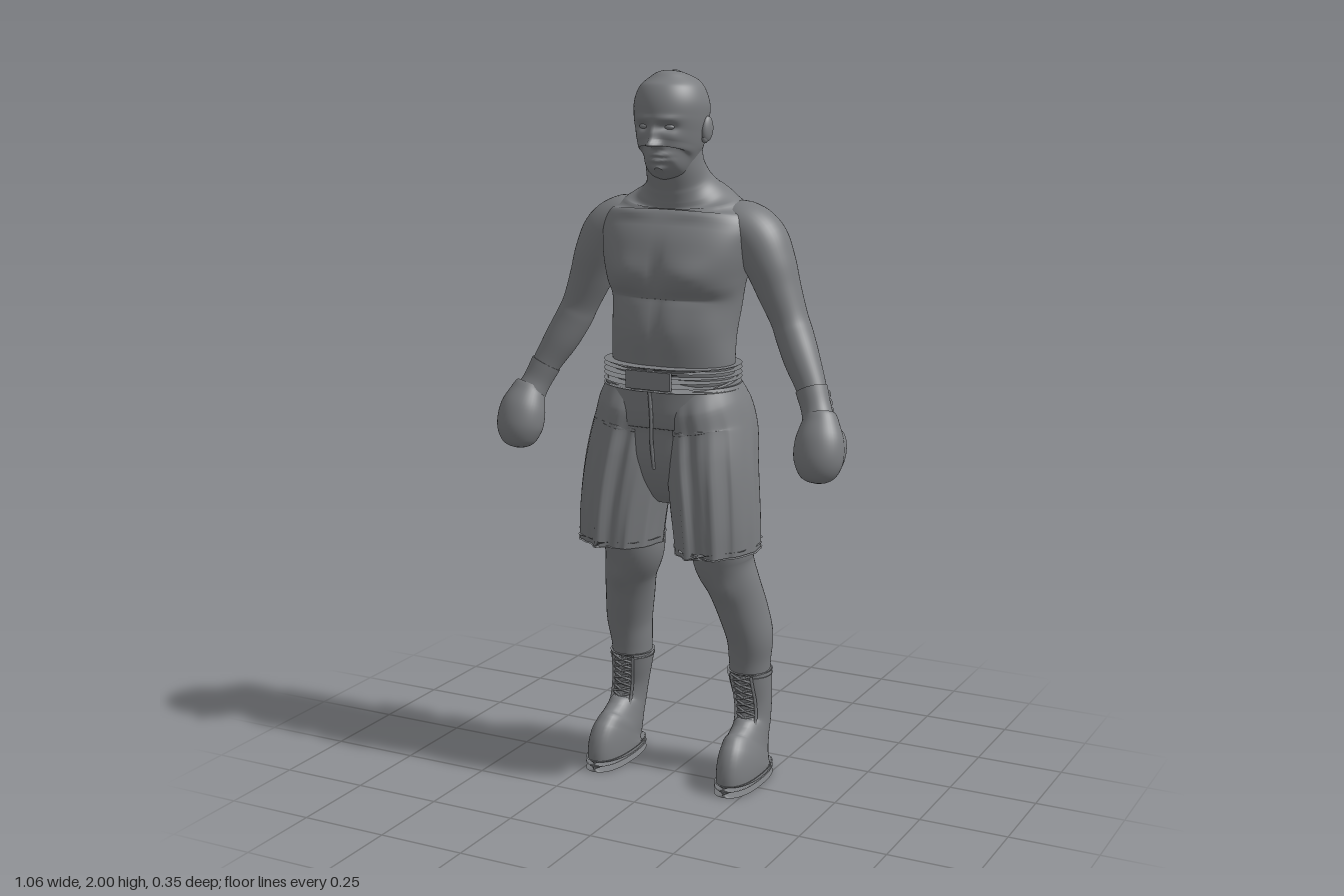
import * as THREE from 'three';

const grey = new THREE.MeshStandardMaterial({ color: 0x7b7d80, side: THREE.DoubleSide });
grey.name = 'plain grey';

// Skin through cross-sections [x, y, z, halfWidth, halfDepth, squareness]; sculpt moves each vertex
function loft(sections, { rows = 32, segs = 40, caps = true, sculpt = null, smooth = true } = {}) {
  const path = new THREE.CatmullRomCurve3(sections.map(s => new THREE.Vector3(s[0], s[1], s[2])), false, 'catmullrom', 0.5);
  const size = new THREE.CatmullRomCurve3(sections.map(s => new THREE.Vector3(s[3], s[4], s[5] ?? 1)), false, 'catmullrom', 0.5);
  if (!smooth) rows = sections.length - 1;
  const pos = [], idx = [], pw = (c, p) => Math.sign(c) * Math.abs(c) ** p;
  for (let i = 0; i <= rows; i++) {
    const t = i / rows, c = path.getPoint(t), r = size.getPoint(t), d = path.getTangent(t);
    const w = new THREE.Vector3(0, 0, 1).addScaledVector(d, -d.z).normalize();
    const u = new THREE.Vector3().crossVectors(d, w);
    for (let j = 0; j < segs; j++) {
      const a = j / segs * Math.PI * 2;
      const v = c.clone().addScaledVector(u, r.x * pw(Math.cos(a), r.z)).addScaledVector(w, r.y * pw(Math.sin(a), r.z));
      if (sculpt) sculpt(v, a, t);
      pos.push(v.x, v.y, v.z);
    }
  }
  for (let i = 0; i < rows; i++) for (let j = 0; j < segs; j++) {
    const k = (j + 1) % segs, a = i * segs + j, b = i * segs + k;
    idx.push(a, a + segs, b, b, a + segs, b + segs);
  }
  if (caps) for (const row of [0, rows]) {
    const base = pos.length / 3, mid = new THREE.Vector3();
    for (let j = 0; j < segs; j++) {
      const o = (row * segs + j) * 3, p = [pos[o], pos[o + 1], pos[o + 2]];
      mid.add(new THREE.Vector3(...p));
      pos.push(...p);
    }
    mid.divideScalar(segs);
    pos.push(mid.x, mid.y, mid.z);
    for (let j = 0; j < segs; j++) {
      const a = base + j, b = base + (j + 1) % segs;
      if (row) idx.push(a, base + segs, b); else idx.push(a, b, base + segs);
    }
  }
  const g = new THREE.BufferGeometry();
  g.setAttribute('position', new THREE.Float32BufferAttribute(pos, 3));
  g.setIndex(idx);
  g.computeVertexNormals();
  return g;
}

const bell = (d, s) => Math.exp(-((d / s) ** 2));
const at = (v, x, y, sx, sy) => bell(Math.abs(v.x) - x, sx) * bell(v.y - y, sy);

export function createModel() {
  const model = new THREE.Group();
  model.name = 'boxer';
  const add = (name, geo, parent = model) => {
    const m = new THREE.Mesh(geo, grey);
    m.name = name;
    parent.add(m);
    return m;
  };
  const ball = (name, p, s, parent) => {
    const m = add(name, new THREE.SphereGeometry(1, 24, 16), parent);
    m.position.set(...p);
    m.scale.set(...s);
    return m;
  };
  const cord = (name, pts, r, parent) => add(name, new THREE.TubeGeometry(
    new THREE.CatmullRomCurve3(pts.map(p => new THREE.Vector3(...p))), pts.length * 4, r, 6), parent);

  // Head with brow, sockets, nose, lips and chin
  add('head', loft([
    [0, 1.733, 0.085, 0.015, 0.02], [0, 1.745, 0.07, 0.05, 0.053], [0, 1.77, 0.04, 0.071, 0.09],
    [0, 1.80, 0.03, 0.084, 0.1], [0, 1.84, 0.022, 0.093, 0.108], [0, 1.88, 0.018, 0.099, 0.113],
    [0, 1.92, 0.015, 0.099, 0.11], [0, 1.96, 0.01, 0.083, 0.092], [0, 1.985, 0.008, 0.054, 0.062],
    [0, 1.997, 0.006, 0.022, 0.025], [0, 2, 0.006, 0.002, 0.002]], {
    rows: 90, segs: 96, sculpt: v => {
      if (v.z < 0.04) return;
      v.z += 0.026 * at(v, 0, 1.812, 0.014, 0.014) + 0.013 * at(v, 0, 1.838, 0.011, 0.02)
        + 0.009 * at(v, 0.014, 1.808, 0.009, 0.008)
        - 0.014 * at(v, 0.036, 1.857, 0.021, 0.011) + 0.005 * at(v, 0.035, 1.879, 0.03, 0.009)
        + 0.010 * at(v, 0, 1.783, 0.025, 0.006) + 0.010 * at(v, 0, 1.767, 0.023, 0.006)
        - 0.004 * at(v, 0, 1.775, 0.028, 0.003) + 0.008 * at(v, 0, 1.745, 0.022, 0.009)
        + 0.004 * at(v, 0.055, 1.83, 0.018, 0.014);
    }
  }));

  // Torso and neck with chest, belly, shoulder-blade and spine relief
  add('torso', loft([
    [0, 1.10, 0, 0.17, 0.11], [0, 1.21, 0.008, 0.178, 0.112, 0.92], [0, 1.30, 0.002, 0.178, 0.126, 0.9],
    [0, 1.385, -0.015, 0.186, 0.128, 0.88], [0, 1.45, -0.012, 0.2, 0.138, 0.86], [0, 1.51, -0.017, 0.215, 0.137, 0.86],
    [0, 1.57, -0.032, 0.225, 0.123, 0.9], [0, 1.62, -0.045, 0.208, 0.108, 0.95], [0, 1.655, -0.042, 0.168, 0.098],
    [0, 1.68, -0.033, 0.12, 0.09], [0, 1.71, -0.02, 0.09, 0.083], [0, 1.75, -0.002, 0.081, 0.074],
    [0, 1.80, 0.005, 0.077, 0.068]], {
    rows: 72, segs: 96, sculpt: v => {
      if (v.z > 0.02) v.z += 0.016 * at(v, 0.085, 1.465, 0.07, 0.045) - 0.008 * at(v, 0.09, 1.405, 0.08, 0.015)
        - 0.008 * at(v, 0, 1.46, 0.016, 0.07) - 0.004 * at(v, 0, 1.3, 0.012, 0.08)
        + 0.005 * at(v, 0.045, 1.31, 0.035, 0.07) + 0.006 * at(v, 0.09, 1.625, 0.06, 0.012);
      if (v.z < -0.05) v.z += 0.016 * at(v, 0, 1.4, 0.02, 0.2) - 0.01 * at(v, 0.11, 1.53, 0.06, 0.07)
        - 0.006 * at(v, 0.05, 1.27, 0.03, 0.09);
    }
  }));

  // Waistband, its raised edges and front plate
  const band = (name, y0, y1, a, b) => add(name, loft(
    [[0, y0, 0.012, a, b, 0.92], [0, y1, 0.012, a, b, 0.92]], { smooth: false, segs: 64 }));
  band('waistband', 1.152, 1.212, 0.192, 0.142);
  for (const y of [1.15, 1.177, 1.203]) band('waistbandRidge', y, y + 0.012, 0.197, 0.147);
  add('beltPlate', new THREE.BoxGeometry(0.134, 0.05, 0.012)).position.set(0, 1.182, 0.157);

  // Seat of the shorts and front seam
  add('shortsSeat', loft([
    [0, 1.17, 0.012, 0.188, 0.138, 0.92], [0, 1.10, 0.003, 0.208, 0.146, 0.9], [0, 1.03, 0, 0.222, 0.14, 0.9],
    [0, 0.95, 0.02, 0.215, 0.115], [0, 0.87, 0.025, 0.15, 0.08], [0, 0.82, 0.025, 0.05, 0.04]], {
    rows: 40, segs: 80, sculpt: (v, a, t) => {
      if (v.z < -0.04) v.z += 0.022 * at(v, 0, 1.02, 0.02, 0.09);
      v.z *= 1 + 0.02 * t * Math.cos(a * 14);
    }
  }));
  cord('frontSeam', [[0, 1.15, 0.152], [0.004, 1.08, 0.15], [0, 1.0, 0.14], [0, 0.93, 0.125]], 0.005);

  for (const s of [1, -1]) {
    const side = new THREE.Group();
    side.name = s > 0 ? 'leftLimbs' : 'rightLimbs';
    model.add(side);
    const flip = list => list.map(([x, ...rest]) => [x * s, ...rest]);

    // Ear and eyelid
    ball('ear', [s * 0.1, 1.848, 0.006], [0.011, 0.034, 0.02], side).rotation.set(-0.15, s * -0.3, 0);
    ball('earLobe', [s * 0.096, 1.822, 0.013], [0.008, 0.012, 0.01], side);
    ball('eye', [s * 0.036, 1.857, 0.103], [0.016, 0.008, 0.012], side);

    // Shoulder, arm and forearm
    add('arm', loft(flip([
      [0.12, 1.60, -0.06, 0.05, 0.07], [0.18, 1.588, -0.06, 0.068, 0.08], [0.228, 1.55, -0.056, 0.076, 0.082],
      [0.262, 1.49, -0.052, 0.069, 0.077], [0.29, 1.42, -0.05, 0.06, 0.066], [0.322, 1.345, -0.047, 0.051, 0.057],
      [0.342, 1.30, -0.04, 0.051, 0.056], [0.372, 1.24, -0.022, 0.049, 0.05], [0.41, 1.17, 0, 0.041, 0.04],
      [0.44, 1.10, 0.025, 0.036, 0.034], [0.455, 1.05, 0.045, 0.03, 0.03]]), { rows: 56 }), side);

    // Glove, laced cuff and thumb
    add('gloveCuff', loft(flip([
      [0.411, 1.168, 0.002, 0.044, 0.043], [0.432, 1.12, 0.018, 0.041, 0.04], [0.449, 1.08, 0.035, 0.045, 0.044]]), { rows: 10 }), side);
    add('glove', loft(flip([
      [0.446, 1.105, 0.027, 0.043, 0.042], [0.452, 1.085, 0.037, 0.052, 0.048], [0.459, 1.04, 0.056, 0.067, 0.06],
      [0.462, 0.99, 0.069, 0.067, 0.061], [0.462, 0.952, 0.077, 0.05, 0.047], [0.462, 0.936, 0.08, 0.028, 0.026],
      [0.462, 0.931, 0.081, 0.003, 0.003]]), { rows: 32 }), side);
    ball('thumb', [s * 0.5, 1.015, 0.033], [0.025, 0.058, 0.03], side).rotation.set(-0.4, 0, s * 0.05);
    for (let i = 0; i < 4; i++) {
      const x = s * (0.447 + i * 0.009), y = 1.16 - i * 0.021, z = -0.008 + i * 0.009;
      cord('cuffLace', [[x, y, z - 0.022], [x + s * 0.011, y - 0.008, z], [x, y - 0.018, z + 0.024]], 0.004, side);
    }

    // Shorts leg with hanging folds
    const fold = (v, a, t) => {
      const k = 0.008 * Math.min(1, t * 1.6), f = Math.cos(a * 9 + s) + 0.6 * Math.cos(a * 16 + 3 * t + s * 2);
      v.x += k * 0.5 * f * Math.cos(a) * (Math.cos(a) * s > 0 ? 1 : 0.5);
      v.z += k * f * Math.sin(a);
    };
    add('shortsLeg', loft(flip([
      [0.09, 1.16, 0.01, 0.095, 0.115], [0.1, 1.10, 0.003, 0.112, 0.145], [0.113, 1.03, -0.005, 0.12, 0.153],
      [0.124, 0.95, 0.016, 0.124, 0.142], [0.135, 0.87, 0.027, 0.123, 0.138], [0.145, 0.78, 0.032, 0.12, 0.136],
      [0.151, 0.70, 0.032, 0.116, 0.133]]), { rows: 44, segs: 90, caps: false, sculpt: fold }), side);
    add('shortsHem', loft(flip([
      [0.15, 0.716, 0.032, 0.119, 0.136], [0.151, 0.698, 0.032, 0.119, 0.136]]),
      { smooth: false, segs: 90, caps: false, sculpt: (v, a) => fold(v, a, 1) }), side);

    // Leg with knee and calf
    add('leg', loft(flip([
      [0.135, 0.92, 0, 0.09, 0.095], [0.141, 0.72, -0.018, 0.09, 0.093], [0.142, 0.65, -0.025, 0.086, 0.085],
      [0.163, 0.58, -0.043, 0.076, 0.074], [0.18, 0.50, -0.07, 0.07, 0.077], [0.193, 0.42, -0.09, 0.066, 0.072],
      [0.191, 0.35, -0.098, 0.06, 0.064], [0.19, 0.28, -0.1, 0.055, 0.06]]), {
      rows: 44, sculpt: v => { v.z += v.z > -0.04 ? 0.009 * bell(v.x - s * 0.165, 0.035) * bell(v.y - 0.57, 0.035) : 0; }
    }), side);

    // Boot, sole and top edge
    const boot = new THREE.Group();
    boot.name = 'boot';
    side.add(boot);
    add('bootUpper', loft(flip([
      [0.207, 0.02, -0.028, 0.054, 0.134, 0.85], [0.207, 0.05, -0.03, 0.055, 0.133, 0.85], [0.206, 0.075, -0.042, 0.053, 0.122, 0.9],
      [0.204, 0.1, -0.06, 0.05, 0.104], [0.203, 0.13, -0.08, 0.048, 0.082], [0.202, 0.165, -0.1, 0.048, 0.062],
      [0.199, 0.22, -0.106, 0.053, 0.057], [0.193, 0.28, -0.102, 0.06, 0.063], [0.19, 0.312, -0.1, 0.063, 0.067]]), { rows: 40 }), boot);
    for (const [y0, y1, r] of [[0, 0.018, 0], [0.02, 0.032, -0.001]]) add('sole', loft(flip([
      [0.207, y0, -0.028, 0.058 + r, 0.139 + r, 0.82], [0.207, y1, -0.028, 0.058 + r, 0.139 + r, 0.82]]), { smooth: false, segs: 56 }), boot);
    add('bootTopEdge', loft(flip([[0.19, 0.304, -0.1, 0.065, 0.069], [0.19, 0.316, -0.1, 0.065, 0.069]]), { smooth: false }), boot);

    // Crossed laces between two eyelet strips, and a bow over the instep
    const front = new THREE.CatmullRomCurve3([[0.205, 0.085, 0.066], [0.204, 0.1, 0.044], [0.203, 0.13, 0.002],
      [0.202, 0.165, -0.037], [0.199, 0.22, -0.048], [0.193, 0.28, -0.038], [0.19, 0.312, -0.032]]
      .map(p => new THREE.Vector3(p[0] * s, p[1], p[2])));
    const spot = (t, dx, lift = 0) => {
      const p = front.getPointAt(t);
      return [p.x + dx, p.y + lift, p.z - Math.abs(dx) * 0.3 + 0.003];
    };
    for (const dx of [-0.031, 0.031])
      cord('eyeletStrip', Array.from({ length: 9 }, (_, i) => spot(i / 8, dx)), 0.005, boot);
    const n = 14;
    for (let i = 0; i < n; i++) for (const d of [-0.031, 0.031])
      cord('lace', [spot(i / n, d), spot((i + 0.5) / n, 0), spot((i + 1) / n, -d)], 0.0035, boot);
    for (let i = 0; i < 3; i++)
      cord('laceLoop', [spot(i * 0.14, -0.02), spot(i * 0.14, -0.01, 0.016), spot(i * 0.14, 0.01, 0.016), spot(i * 0.14, 0.02)], 0.003, boot);
  }
  return model;
}
